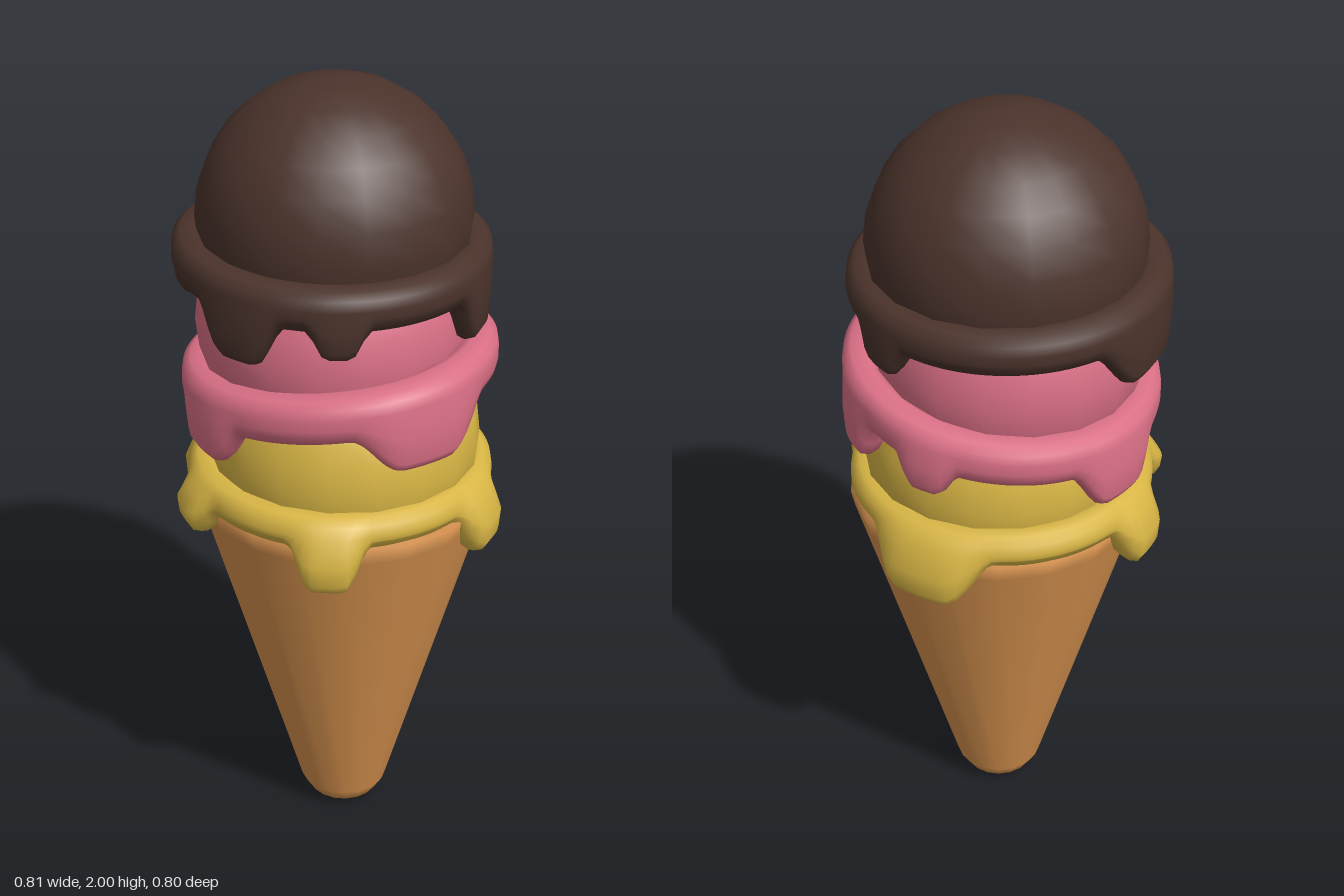
import * as THREE from 'three';

const material = (name, color) => {
  const m = new THREE.MeshStandardMaterial({ color });
  m.name = name;
  return m;
};

const smooth = THREE.MathUtils.smoothstep;

// Amount (0..1) of a rounded drip at angle a; all angles in degrees
function dripAmount(a, centre, halfWidth) {
  const d = Math.abs(((a - centre + 540) % 360) - 180);
  return 1 - smooth(d / halfWidth, 0.35, 1);
}

// Closed ring around a scoop, its lower edge pulled down into drips.
// Angles run from the front (+z) towards the model's left (+x).
function collarGeometry({ radius, top, bottom, tilt = [0, 0], bulge = 0, drips }) {
  const steps = 120, positions = [], index = [];
  let rows = 0;
  for (let i = 0; i < steps; i++) {
    const deg = (i / steps) * 360, a = THREE.MathUtils.degToRad(deg);
    let low = bottom, swell = 0;
    for (const [centre, halfWidth, end] of drips) {
      const k = dripAmount(deg, centre, halfWidth);
      low = Math.min(low, THREE.MathUtils.lerp(bottom, end, k));
      swell = Math.max(swell, k);
    }
    const lift = radius * (tilt[0] * Math.sin(a) + tilt[1] * Math.cos(a));
    const out = radius + bulge * swell;
    const t = top + lift, b = low + lift * (1 - swell);
    // Cross-section from the inner top edge, over the outside, to the inner bottom edge
    const section = [
      [0.29, t - 0.01], [0.325, t], [radius - 0.022, t - 0.004], [radius - 0.004, t - 0.02],
      [radius + (out - radius) * 0.4, t - 0.045], [out, (t + b) / 2 - 0.01], [out - 0.004, b + 0.032],
      [out - 0.017, b + 0.01], [out - 0.04, b], [out - 0.065, b + 0.01], [0.29, b + 0.035],
    ];
    rows = section.length;
    for (const [r, y] of section) positions.push(r * Math.sin(a), y, r * Math.cos(a));
  }
  for (let i = 0; i < steps; i++) {
    const n = (i + 1) % steps;
    for (let j = 0; j < rows; j++) {
      const k = (j + 1) % rows;
      const p = i * rows + j, q = i * rows + k, r = n * rows + j, s = n * rows + k;
      index.push(p, q, r, r, q, s);
    }
  }
  const g = new THREE.BufferGeometry();
  g.setAttribute('position', new THREE.Float32BufferAttribute(positions, 3));
  g.setIndex(index);
  g.computeVertexNormals();
  return g;
}

export function createModel() {
  const group = new THREE.Group();
  const waffle = material('waffle', 0xd8934f);
  const vanilla = material('vanilla yellow', 0xd9b645);
  const strawberry = material('strawberry pink', 0xdb7086);
  const chocolate = material('chocolate brown', 0x4b332b);

  const add = (name, geometry, mat, x, y, z) => {
    const mesh = new THREE.Mesh(geometry, mat);
    mesh.name = name;
    mesh.position.set(x, y, z);
    group.add(mesh);
  };

  // Cone with a blunt rounded tip and a closed top
  const profile = [[0, 0], [0.05, 0.004], [0.09, 0.022], [0.113, 0.06], [0.36, 0.93], [0.37, 0.975], [0.34, 0.99], [0, 0.99]]
    .map(([r, y]) => new THREE.Vector2(r, y));
  add('cone', new THREE.LatheGeometry(profile, 18), waffle, 0.012, 0, 0.012);

  // Each scoop with its melting collar; drips are [angle, half width, lowest y]
  const flavours = [
    {
      name: 'vanilla', mat: vanilla, scoop: [0.01, 1.1, 0.015], size: 0.335, centre: [0.003, 0.008],
      collar: {
        radius: 0.375, top: 1.06, bottom: 0.965, bulge: 0.042,
        drips: [[332, 16, 0.87], [41, 16, 0.87], [130, 27, 0.86], [222, 16, 0.87], [268, 15, 0.91]],
      },
    },
    {
      name: 'strawberry', mat: strawberry, scoop: [-0.01, 1.41, -0.01], size: 0.33, centre: [0.003, 0.003],
      collar: {
        radius: 0.383, top: 1.355, bottom: 1.235, tilt: [0.07, 0.08], bulge: 0.01,
        drips: [[10, 30, 1.17], [90, 14, 1.155], [131, 13, 1.17], [208, 22, 1.1], [278, 20, 1.135]],
      },
    },
    {
      name: 'chocolate', mat: chocolate, scoop: [0, 1.67, -0.02], size: 0.33, centre: [-0.007, -0.02],
      collar: {
        radius: 0.38, top: 1.635, bottom: 1.525, tilt: [-0.01, -0.01], bulge: 0.004,
        drips: [[300, 19, 1.42], [339, 12, 1.455], [46, 15, 1.41], [106, 13, 1.45], [222, 30, 1.42]],
      },
    },
  ];
  for (const f of flavours) {
    add(`${f.name} scoop`, new THREE.SphereGeometry(f.size, 18, 14), f.mat, ...f.scoop);
    add(`${f.name} drip collar`, collarGeometry(f.collar), f.mat, f.centre[0], 0, f.centre[1]);
  }
  return group;
}
